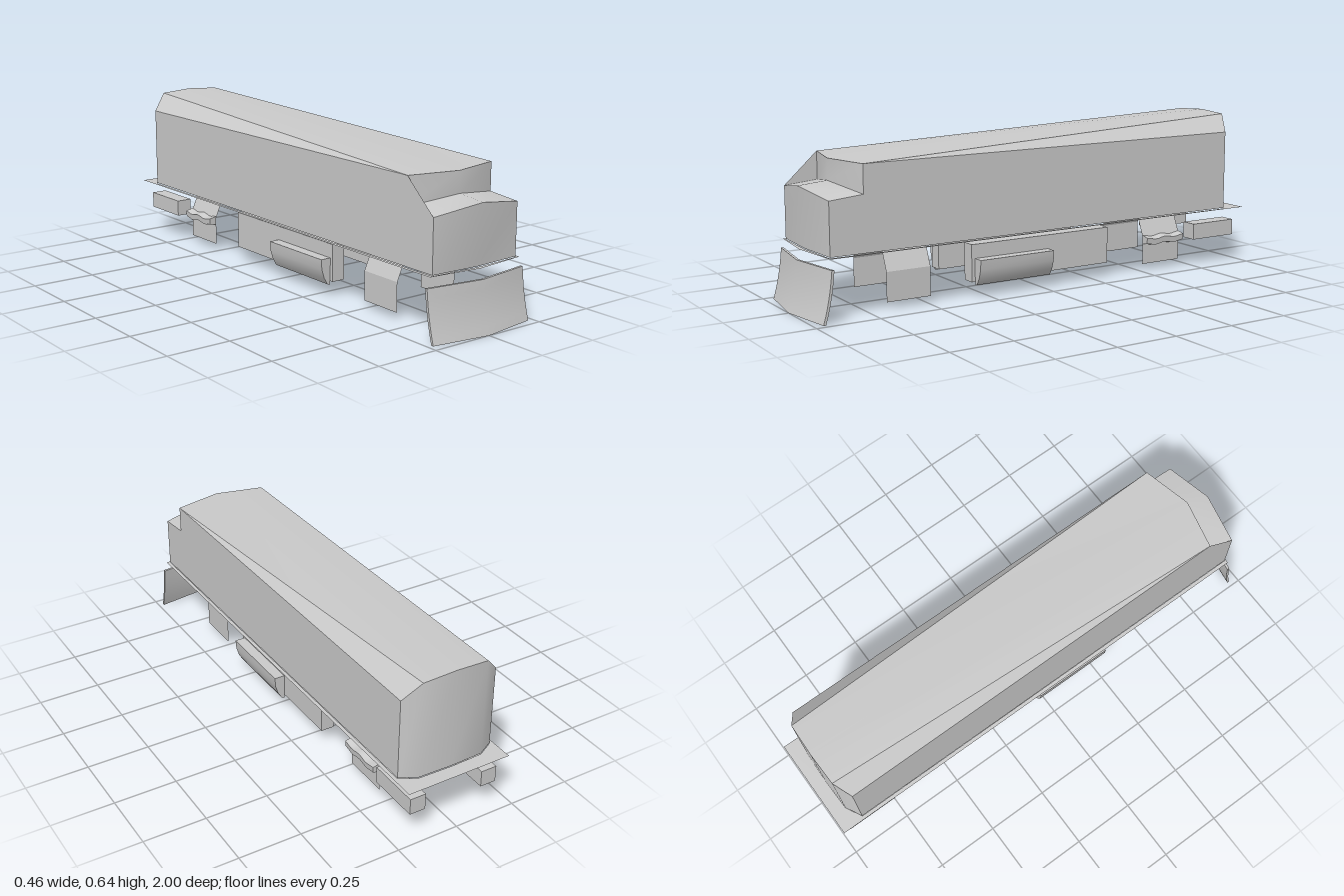
import * as THREE from 'three';
import { toCreasedNormals } from 'three/addons/utils/BufferGeometryUtils.js';

const solid = new THREE.MeshStandardMaterial({ color: 0xcccccc });
const thin = new THREE.MeshStandardMaterial({ color: 0xcccccc, side: THREE.DoubleSide });

// Fan-triangulated polygons with normals smoothed below the crease angle
function polyGeometry(polys, crease = 0.7) {
  const pos = [];
  for (const p of polys)
    for (let i = 1; i < p.length - 1; i++) pos.push(...p[0], ...p[i], ...p[i + 1]);
  const g = new THREE.BufferGeometry();
  g.setAttribute('position', new THREE.Float32BufferAttribute(pos, 3));
  return toCreasedNormals(g, crease);
}

const mirrored = polys => polys.map(p => p.map(([x, y, z]) => [-x, y, z]).reverse());

// Solid with an x-y profile running from z0 to z1
function prism(profile, side, z0, z1, steps = 1) {
  const shape = new THREE.Shape(profile.map(([x, y]) => new THREE.Vector2(x * side, y)));
  return new THREE.ExtrudeGeometry(shape, { depth: z1 - z0, steps, bevelEnabled: false }).translate(0, 0, z0);
}

export function createModel() {
  const model = new THREE.Group();
  const add = (name, geometry, material = solid) => {
    const mesh = new THREE.Mesh(geometry, material);
    mesh.name = name;
    model.add(mesh);
  };

  // Body shell, open underneath: corners of the left half
  const n0 = [0, 0.235, 0.932], n1 = [0, 0.468, 0.952], a = [0.2, 0.235, 0.92], b = [0.2, 0.438, 0.92];
  const c0 = [0, 0.478, 0.835], c = [0.2, 0.45, 0.785], d0 = [0, 0.56, 0.832], d = [0.2, 0.56, 0.785];
  const r0 = [0.2, 0.235, -0.905], r1 = [0.2, 0.56, -0.905];
  const e = [0.135, 0.63, -0.94], e0 = [0, 0.638, -0.944], f = [0.135, 0.235, -0.94], f0 = [0, 0.235, -0.944];
  const half = [
    [n0, a, b, n1],       // nose
    [n1, b, c, c0],       // nose deck
    [c0, c, d, d0],       // cab front
    [c, b, a, r0, r1, d], // side wall
    [d, r1, e],           // roof shoulder
    [d0, d, e, e0],       // roof
    [r0, f, e, r1],       // rear corner
    [f, f0, e0, e],       // rear wall
  ];
  add('bodyShell', polyGeometry([...half, ...mirrored(half)]), thin);

  // Thin sill around the foot of the shell
  const sill = new THREE.Shape([[-0.215, -0.925], [0, -0.95], [0.215, -0.925], [0.215, 1], [-0.215, 1]]
    .map(p => new THREE.Vector2(...p)));
  const outline = [n0, a, r0, f, f0].map(p => new THREE.Vector2(p[0], -p[2]));
  const other = [f, r0, a].map(p => new THREE.Vector2(-p[0], -p[2]));
  sill.holes.push(new THREE.Path([...outline, ...other]));
  add('sill', new THREE.ShapeGeometry(sill).rotateX(-Math.PI / 2).translate(0, 0.232, 0), thin);

  // Plough: curved plate swept back from the centre line
  const blade = new THREE.Shape();
  blade.moveTo(1, 0);
  blade.quadraticCurveTo(0.972, 0.09, 0.963, 0.195);
  blade.lineTo(0.953, 0.195);
  blade.quadraticCurveTo(0.962, 0.09, 0.99, 0);
  const plough = new THREE.ExtrudeGeometry(blade, { depth: 0.46, steps: 2, bevelEnabled: false, curveSegments: 6 })
    .rotateY(-Math.PI / 2);
  const pp = plough.attributes.position;
  for (let i = 0; i < pp.count; i++) {
    const z = pp.getX(i), x = pp.getZ(i), y = pp.getY(i);
    // the rotation maps profile x to z and the extrusion to -x
    pp.setXYZ(i, z + 0.23, y, x - 0.035 * Math.abs(z + 0.23) / 0.23);
  }
  add('plough', toCreasedNormals(plough, 0.7));

  for (const [side, label] of [[1, 'left'], [-1, 'right']]) {
    // Bent hanging plates in place of the wheel trucks
    const profile = [[0.14, 0.025], [0.14, 0.14], [0.1, 0.232]];
    for (const [name, z0, z1] of [['FrontTruckPlate', 0.485, 0.67], ['RearTruckPlate', -0.71, -0.52]]) {
      const quads = [0, 1].map(i => {
        const [p, q] = [profile[i], profile[i + 1]];
        const quad = [[p[0], p[1], z1], [p[0], p[1], z0], [q[0], q[1], z0], [q[0], q[1], z1]];
        return side > 0 ? quad : mirrored([quad])[0];
      });
      add(label + name, polyGeometry(quads, 0.2), thin);
    }

    // Slightly wavy spring bar on the rear plate
    const spring = prism([[0.14, 0.143], [0.172, 0.136], [0.17, 0.112], [0.14, 0.107]], side, -0.71, -0.52, 10);
    const sp = spring.attributes.position;
    for (let i = 0; i < sp.count; i++)
      sp.setY(i, sp.getY(i) + 0.004 * Math.cos((sp.getZ(i) + 0.615) / 0.095 * Math.PI * 2));
    add(label + 'SpringBar', toCreasedNormals(spring, 0.5));

    // Main tank and the round-bottomed locker on its outer face
    const tank = new THREE.BoxGeometry(0.054, 0.147, 0.64);
    add(label + 'Tank', tank.translate(side * 0.13, 0.132, -0.005));
    const locker = prism([[0.157, 0.15], [0.2, 0.15], [0.197, 0.11], [0.186, 0.075], [0.17, 0.048], [0.157, 0.045]],
      side, -0.035, 0.3);
    add(label + 'Locker', toCreasedNormals(locker, 0.7));

    // Rear box under the tail
    const box = new THREE.BoxGeometry(0.065, 0.066, 0.215);
    add(label + 'RearBox', box.translate(side * 0.154, 0.144, -0.862));
  }
  return model;
}
